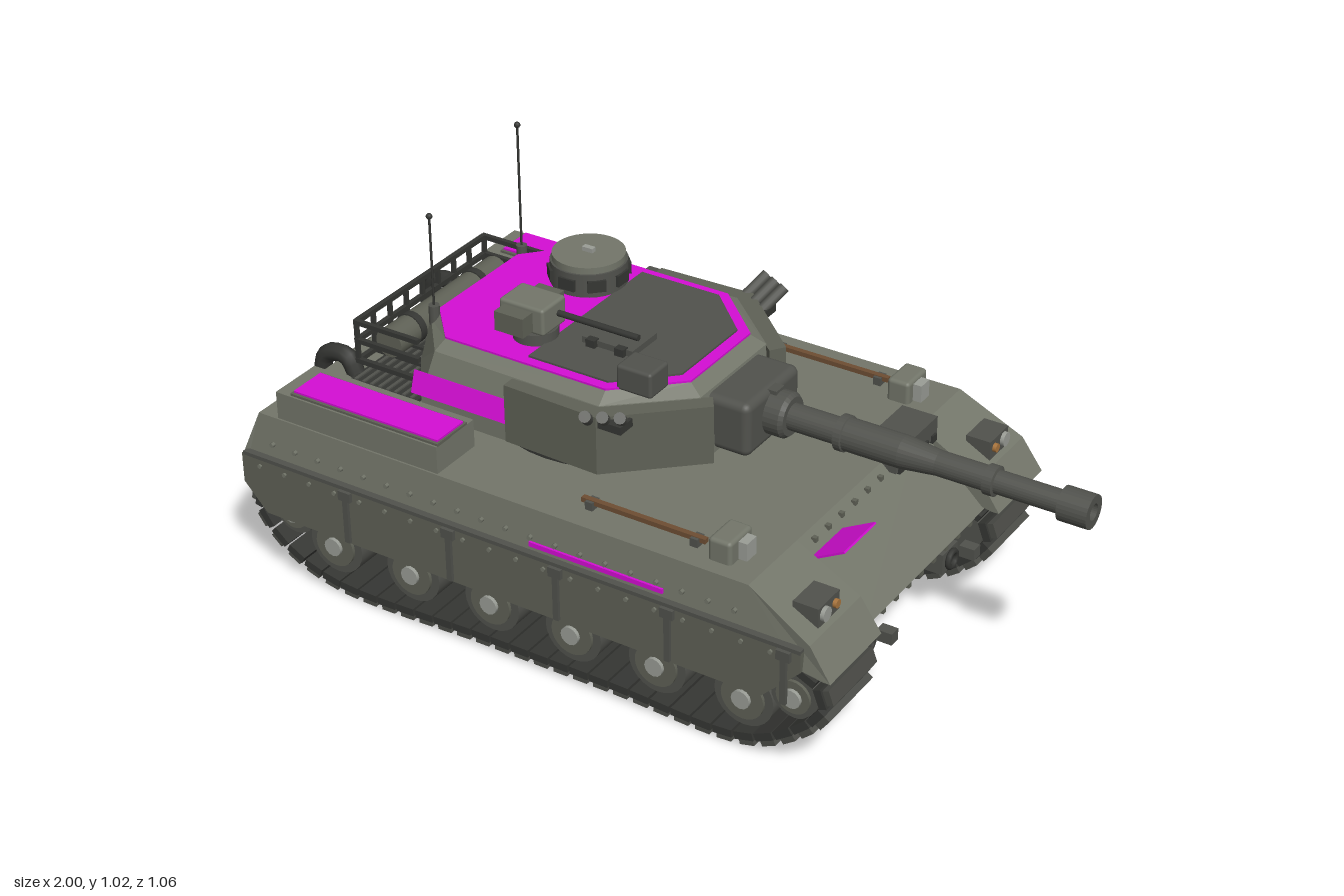
import * as THREE from 'three';
import { mergeGeometries } from 'three/addons/utils/BufferGeometryUtils.js';
import { RoundedBoxGeometry } from 'three/addons/geometries/RoundedBoxGeometry.js';

const mat = (name, color, side = THREE.FrontSide) => {
  const m = new THREE.MeshStandardMaterial({ color, side });
  m.name = name;
  return m;
};

// flat shape drawn in x/y, extruded from z0 to z1
const slab = (pts, z0, z1) =>
  new THREE.ExtrudeGeometry(new THREE.Shape(pts.map(p => new THREE.Vector2(...p))),
    { depth: z1 - z0, bevelEnabled: false }).translate(0, 0, z0);
// plan drawn in x/z, extruded from y0 to y1
const prism = (pts, y0, y1) =>
  slab(pts.map(([x, z]) => [x, -z]), y0, y1).rotateX(-Math.PI / 2);
const mirrored = half => [...half, ...half.map(([x, z]) => [x, -z]).reverse()];
const box = (w, h, d, x = 0, y = 0, z = 0) => new THREE.BoxGeometry(w, h, d).translate(x, y, z);
const disc = (r, d, x, y, z, n = 24) =>
  new THREE.CylinderGeometry(r, r, d, n).rotateX(Math.PI / 2).translate(x, y, z);
const post = (r, h, x, y, z, n = 24) => new THREE.CylinderGeometry(r, r, h, n).translate(x, y, z);

// closed loft through rings of [x, z] points at rising heights
function loft(rings) {
  const v = [], n = rings[0].pts.length;
  const at = (r, i) => [rings[r].pts[i % n][0], rings[r].y, rings[r].pts[i % n][1]];
  for (let r = 0; r < rings.length - 1; r++) for (let i = 0; i < n; i++) {
    const a = at(r, i), b = at(r, i + 1), c = at(r + 1, i + 1), d = at(r + 1, i);
    v.push(...a, ...b, ...c, ...a, ...c, ...d);
  }
  const t = rings.length - 1;
  for (let i = 1; i < n - 1; i++) {
    v.push(...at(t, 0), ...at(t, i), ...at(t, i + 1));
    v.push(...at(0, 0), ...at(0, i + 1), ...at(0, i));
  }
  const g = new THREE.BufferGeometry();
  g.setAttribute('position', new THREE.Float32BufferAttribute(v, 3));
  g.computeVertexNormals();
  return g;
}

export function createModel() {
  const olive = mat('olive armour', 0x73766a), darkOlive = mat('dark olive', 0x5f6156);
  const steel = mat('dark steel', 0x51524d), black = mat('black metal', 0x353633);
  const track = mat('track metal', 0x4a4b46), pale = mat('pale metal', 0x9a9d96);
  const wood = mat('brown wood', 0x6e4e33), amber = mat('amber glass', 0xa8743c);
  const magenta = mat('magenta panel', 0xd40ed4, THREE.DoubleSide);
  const model = new THREE.Group();
  const add = (name, geo, m, parent = model) => {
    const mesh = new THREE.Mesh(Array.isArray(geo) ? mergeGeometries(geo) : geo, m);
    mesh.name = name;
    parent.add(mesh);
    return mesh;
  };

  // central hull
  add('hull', slab([[-0.85, 0.1], [0.43, 0.1], [0.6, 0.27], [0.42, 0.44], [-0.94, 0.44], [-0.975, 0.33]], -0.288, 0.288), olive);
  const noseBolts = [];
  for (let i = -4; i <= 4; i++) {
    noseBolts.push(box(0.012, 0.012, 0.012, 0.585, 0.25, i * 0.06), box(0.012, 0.012, 0.012, 0.44, 0.425, i * 0.06));
  }
  add('noseBolts', noseBolts, darkOlive);

  for (const s of [1, -1]) {
    const side = new THREE.Group();
    side.name = s > 0 ? 'leftSide' : 'rightSide';
    model.add(side);
    const put = (name, geo, m) => add(name, geo, m, side);
    const Z = (a, b) => (s > 0 ? [a, b] : [-b, -a]);

    // sponson whose outer wall leans inward towards the deck
    const sponson = slab([[-0.985, 0.28], [0.56, 0.28], [0.62, 0.27], [0.64, 0.27], [0.585, 0.35], [0.42, 0.44], [-0.945, 0.44], [-0.985, 0.33]], ...Z(0.285, 0.51));
    const p = sponson.attributes.position;
    for (let i = 0; i < p.count; i++) {
      if (Math.abs(p.getZ(i)) > 0.4) p.setZ(i, s * (0.512 - 0.02 * Math.max(0, (p.getY(i) - 0.33) / 0.11)));
    }
    sponson.computeVertexNormals();
    put('sponson', sponson, olive);

    // skirt with ribs and bolts
    put('skirt', slab([[-0.985, 0.33], [-0.985, 0.25], [-0.92, 0.18], [0.47, 0.18], [0.57, 0.28], [0.57, 0.33]], ...Z(0.505, 0.521)), darkOlive);
    put('skirtTrim', box(1.55, 0.01, 0.02, -0.205, 0.332, s * 0.512), steel);
    const ribs = [], bolts = [];
    for (let i = 0; i < 5; i++) ribs.push(box(0.015, 0.13, 0.01, -0.67 + i * 0.3, 0.25, s * 0.524), box(0.035, 0.025, 0.014, -0.67 + i * 0.3, 0.315, s * 0.524));
    for (let i = 0; i < 20; i++) bolts.push(disc(0.006, 0.008, -0.93 + i * 0.075, 0.31, s * 0.522, 6), disc(0.006, 0.01, -0.9 + i * 0.068, 0.37, s * 0.505, 6));
    put('skirtRibs', ribs, steel);
    put('sideBolts', bolts, olive);
    put('sidePanel', box(0.36, 0.012, 0.006, 0.03, 0.357, s * 0.51), magenta);

    // track links following a closed path
    const path = new THREE.CatmullRomCurve3([[-0.76, 0.03], [-0.3, 0.03], [0.05, 0.03], [0.41, 0.03], [0.54, 0.1], [0.605, 0.18], [0.58, 0.235], [0.52, 0.255],
      [0, 0.245], [-0.86, 0.255], [-0.93, 0.24], [-0.965, 0.18], [-0.9, 0.09]].map(([x, y]) => new THREE.Vector3(x, y, 0)), true, 'centripetal');
    const n = 60, pads = [], links = [];
    for (let i = 0; i < n; i++) {
      const a = path.getPointAt(i / n), t = path.getTangentAt(i / n), ang = Math.atan2(t.y, t.x);
      pads.push(box(0.038, 0.018, 0.195, 0, -0.021, 0).rotateZ(ang).translate(a.x, a.y, s * 0.39));
      links.push(box(0.05, 0.02, 0.208, 0, -0.003, 0).rotateZ(ang).translate(a.x, a.y, s * 0.39));
    }
    put('trackPads', pads, track);
    put('trackLinks', links, black);

    // road wheels, then sprocket and idler
    const wheels = [[0.53, 0.175, 0.06], [-0.875, 0.175, 0.06]];
    for (let i = 0; i < 6; i++) wheels.push([-0.75 + i * 0.23, 0.122, 0.077]);
    put('tyres', wheels.map(([x, y, r]) => disc(r, 0.17, x, y, s * 0.39)), steel);
    put('wheelDiscs', wheels.map(([x, y, r]) => disc(r * 0.72, 0.01, x, y, s * 0.478)), darkOlive);
    put('hubs', wheels.map(([x, y]) => disc(0.024, 0.02, x, y, s * 0.482, 12)), pale);

    // storage box with painted lid
    put('storageBox', box(0.47, 0.072, 0.145, -0.655, 0.476, s * 0.415), olive);
    put('storageRim', box(0.43, 0.008, 0.115, -0.635, 0.514, s * 0.425), darkOlive);
    put('storageLid', box(0.42, 0.006, 0.1, -0.635, 0.52, s * 0.425), magenta);

    // front fender fittings: lamp housing, periscope box, tool
    put('lampHousing', box(0.065, 0.05, 0.092, 0.54, 0.382, s * 0.405), steel);
    const lamp = (r, z) => new THREE.CylinderGeometry(r, r, 0.012, 16).rotateZ(Math.PI / 2).translate(0.576, 0.384, s * z);
    put('headlamp', lamp(0.018, 0.427), pale);
    put('indicator', lamp(0.011, 0.38), amber);
    put('fenderBox', new RoundedBoxGeometry(0.06, 0.07, 0.095, 2, 0.01).translate(0.32, 0.462, s * 0.405), olive);
    put('fenderLens', box(0.035, 0.045, 0.04, 0.355, 0.465, s * 0.4), pale);
    put('toolHandle', box(0.33, 0.012, 0.014, 0.1, 0.457, s * 0.415), wood);
    put('toolClips', [-0.04, 0.24].map(x => box(0.02, 0.022, 0.03, x, 0.45, s * 0.415)), steel);

    // tow mounts, front and rear
    put('towMount', box(0.06, 0.055, 0.075, 0.53, 0.165, s * 0.2), steel);
    put('towEye', new THREE.TorusGeometry(0.02, 0.008, 8, 16).rotateY(Math.PI / 2).translate(0.565, 0.165, s * 0.2), black);
    put('towBar', box(0.04, 0.03, 0.03, 0.61, 0.205, s * 0.2), steel);
    put('exhaust', new THREE.TubeGeometry(new THREE.CatmullRomCurve3([[-0.86, 0.43], [-0.89, 0.48], [-0.95, 0.47], [-0.972, 0.4], [-0.972, 0.24]].map(([x, y]) => new THREE.Vector3(x, y, s * 0.22))), 20, 0.023, 10), black);
    put('exhaustCaps', [box(0.03, 0.05, 0.07, -0.97, 0.36, s * 0.22), box(0.03, 0.04, 0.06, -0.96, 0.23, s * 0.22)], steel);
    put('rearPanel', new RoundedBoxGeometry(0.05, 0.12, 0.17, 3, 0.02).translate(-0.955, 0.36, s * 0.095), darkOlive);
  }

  // deck fittings
  add('engineGrille', box(0.2, 0.01, 0.54, -0.75, 0.444, 0), black);
  add('grilleSlats', Array.from({ length: 8 }, (_, i) => box(0.008, 0.012, 0.52, -0.835 + i * 0.024, 0.447, 0)), steel);
  add('driverHatch', post(0.08, 0.02, 0.335, 0.445, -0.2), olive);
  add('spareLinks', box(0.095, 0.055, 0.2, 0.412, 0.447, -0.2), steel);
  add('spareLinkTeeth', Array.from({ length: 5 }, (_, i) => box(0.02, 0.02, 0.02, 0.455, 0.425, -0.28 + i * 0.04)), black);
  add('frontFlap', box(0.122, 0.005, 0.142).rotateZ(0.5).translate(0.487, 0.42, 0.214), magenta);

  // turret shell
  const turret = new THREE.Group();
  turret.name = 'turret';
  model.add(turret);
  const tur = (name, geo, m) => add(name, geo, m, turret);
  const roof = mirrored([[-0.645, 0.16], [-0.55, 0.265], [-0.1, 0.265], [0.045, 0.13]]);
  const base = mirrored([[-0.685, 0.19], [-0.58, 0.33], [-0.09, 0.33], [0.1, 0.15]]);
  const shoulder = mirrored([[-0.66, 0.175], [-0.56, 0.295], [-0.095, 0.3], [0.08, 0.145]]);
  tur('turretRing', post(0.3, 0.06, -0.25, 0.46, 0, 40), black);
  tur('shell', loft([{ y: 0.475, pts: base }, { y: 0.52, pts: base }, { y: 0.63, pts: shoulder }, { y: 0.652, pts: roof }]), olive);
  tur('roofPanel', prism(roof, 0.652, 0.657), magenta);
  tur('roofPlate', prism(mirrored([[-0.33, 0.24], [-0.11, 0.24], [0.015, 0.12]]), 0.655, 0.662), steel);
  for (const s of [1, -1]) {
    const cheek = [[-0.335, 0.3], [-0.335, 0.335], [-0.075, 0.343], [0.125, 0.16], [0.1, 0.125], [-0.09, 0.29]];
    tur('cheekArmour', prism(cheek.map(([x, z]) => [x, z * s]), 0.477, 0.628), darkOlive);
    tur('turretSidePanel', box(0.27, 0.056, 0.006).rotateX(-s * 0.3).translate(-0.47, 0.55, s * 0.325), magenta);
    // smoke launchers fan outward
    const tubes = [];
    for (let i = 0; i < 3; i++) {
      tubes.push(post(0.014, 0.085, 0, 0, 0, 12).rotateX(s * 0.95).rotateY(s * 0.5)
        .translate(-0.085 + i * 0.035, 0.635, s * (0.365 - i * 0.018)));
    }
    tur('smokeLaunchers', tubes, steel);
    tur('launcherBracket', box(0.1, 0.02, 0.05, -0.06, 0.61, s * 0.315), black);
    // whip aerials
    const top = s > 0 ? 0.91 : 1.0;
    tur('aerial', post(0.003, top - 0.65, -0.645, (top + 0.65) / 2, s * 0.18, 6), black);
    tur('aerialTip', new THREE.SphereGeometry(0.008, 10, 8).translate(-0.645, top, s * 0.18), black);
    tur('aerialBase', post(0.014, 0.05, -0.645, 0.65, s * 0.18, 10), steel);
  }
  tur('sideKit', box(0.14, 0.07, 0.05, -0.33, 0.56, -0.355), steel);

  // gun mantlet and barrel
  tur('mantlet', new RoundedBoxGeometry(0.15, 0.14, 0.235, 3, 0.02).translate(0.115, 0.553, 0), steel);
  tur('coaxialPort', post(0.012, 0.02, 0, 0, 0, 12).rotateZ(Math.PI / 2).translate(0.192, 0.53, -0.085), black);
  tur('gunSight', box(0.03, 0.03, 0.035, 0.19, 0.605, 0), steel);
  const profile = [[0.0, 0.15], [0.056, 0.15], [0.056, 0.23], [0.048, 0.24], [0.033, 0.24], [0.033, 0.365], [0.044, 0.367], [0.044, 0.385], [0.04, 0.387],
    [0.04, 0.53], [0.03, 0.62], [0.03, 0.74], [0.036, 0.742], [0.036, 0.765], [0.028, 0.767], [0.028, 0.925], [0.041, 0.927], [0.041, 1.0], [0.02, 1.0], [0.02, 0.95], [0, 0.95]];
  const barrel = new THREE.LatheGeometry(profile.map(a => new THREE.Vector2(...a)), 28).rotateZ(-Math.PI / 2).toNonIndexed();
  barrel.computeVertexNormals();
  tur('barrel', barrel.translate(0, 0.557, 0), steel);

  // commander's cupola
  tur('cupolaRing', post(0.095, 0.06, -0.42, 0.69, -0.145, 32), steel);
  tur('cupolaBlocks', Array.from({ length: 8 }, (_, i) =>
    box(0.02, 0.03, 0.045, 0.09, 0, 0).rotateY(i * Math.PI / 4).translate(-0.42, 0.69, -0.145)), black);
  tur('cupolaLid', post(0.09, 0.018, -0.42, 0.728, -0.145, 32), olive);
  tur('cupolaKnob', box(0.03, 0.012, 0.015, -0.42, 0.742, -0.145), pale);

  // remote weapon station
  tur('stationBase', [post(0.055, 0.03, -0.375, 0.67, 0.145), post(0.03, 0.05, -0.375, 0.69, 0.145)], steel);
  tur('stationBody', new RoundedBoxGeometry(0.125, 0.07, 0.095, 2, 0.008).translate(-0.375, 0.73, 0.155), olive);
  tur('stationPods', [box(0.08, 0.05, 0.04, -0.38, 0.73, 0.225), box(0.07, 0.045, 0.04, -0.38, 0.727, 0.09)], darkOlive);
  tur('stationGun', post(0.008, 0.23, 0, 0, 0, 10).rotateZ(Math.PI / 2).translate(-0.205, 0.732, 0.14), black);

  // loader's hatch and sight
  tur('loaderHatch', box(0.14, 0.018, 0.105, -0.19, 0.669, 0.07), steel);
  tur('hatchHinges', [-0.23, -0.15].map(x => box(0.025, 0.025, 0.02, x, 0.669, 0.125)), black);
  tur('sightBox', new RoundedBoxGeometry(0.095, 0.065, 0.078, 2, 0.008).translate(-0.038, 0.682, 0.205), steel);

  // stowage basket behind the turret
  const bars = [];
  for (const y of [0.51, 0.565, 0.615]) {
    bars.push(box(0.012, 0.012, 0.52, -0.82, y, 0));
    for (const s of [1, -1]) bars.push(box(0.19, 0.012, 0.012, -0.73, y, s * 0.26));
  }
  for (let i = -4; i <= 4; i++) bars.push(box(0.01, 0.11, 0.01, -0.82, 0.562, i * 0.065), box(0.17, 0.008, 0.01, -0.74, 0.507, i * 0.065));
  tur('basket', bars, black);
  tur('stowageRoll', disc(0.038, 0.44, -0.757, 0.555, 0, 20), darkOlive);
  tur('rollStraps', [-0.13, 0.13].map(z => disc(0.041, 0.02, -0.757, 0.555, z, 20)), black);
  return model;
}
